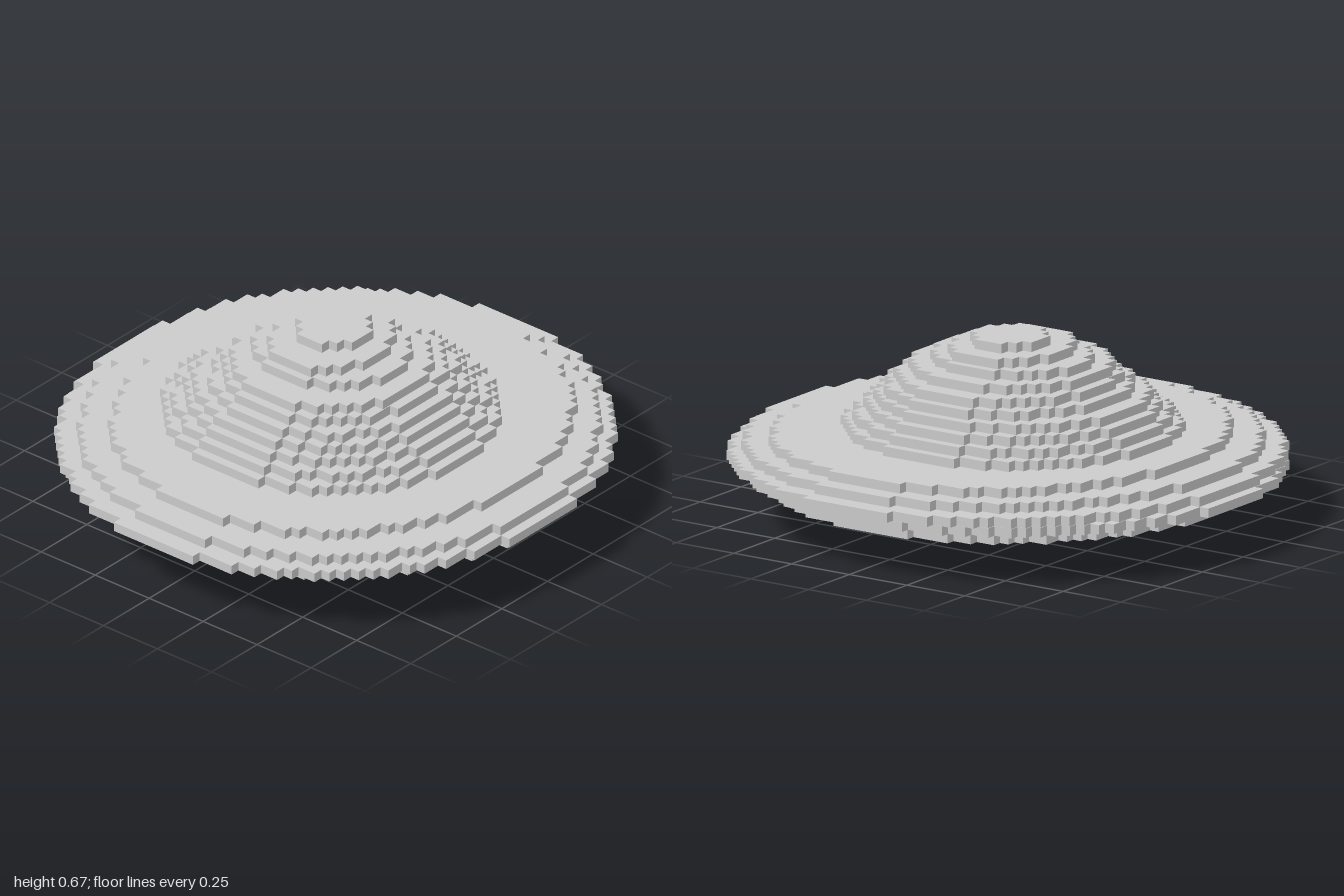
import * as THREE from 'three';

const CELL = 0.037;
const material = new THREE.MeshStandardMaterial({ color: 0xcccccc, flatShading: true });

// Corner points of an ellipse stepped into cells, filling the bounds [x0, x1, z0, z1]
function steppedOutline([x0, x1, z0, z1]) {
  const cx = (x0 + x1) / 2, rx = (x1 - x0) / 2;
  const rows = Math.round((z1 - z0) / CELL), dz = (z1 - z0) / rows;
  const right = [], left = [];
  let last = null;
  for (let i = 0; i < rows; i++) {
    const t = ((i + 0.5) / rows) * 2 - 1;
    const w = rx - Math.round((rx * (1 - Math.sqrt(1 - t * t))) / CELL) * CELL;
    const z = z0 + i * dz;
    if (w !== last) {
      if (last !== null) {
        right.push(new THREE.Vector2(cx + last, z));
        left.push(new THREE.Vector2(cx - last, z));
      }
      right.push(new THREE.Vector2(cx + w, z));
      left.push(new THREE.Vector2(cx - w, z));
    }
    last = w;
  }
  right.push(new THREE.Vector2(cx + last, z1));
  left.push(new THREE.Vector2(cx - last, z1));
  return [...right, ...left.reverse()];
}

// One flat slab of cells, with an optional stepped hole
function slab(name, bounds, y0, y1, hole) {
  const shape = new THREE.Shape(steppedOutline(bounds));
  if (hole) shape.holes.push(new THREE.Path(steppedOutline(hole)));
  const geometry = new THREE.ExtrudeGeometry(shape, { depth: y1 - y0, bevelEnabled: false });
  geometry.rotateX(Math.PI / 2).translate(0, y1, 0);
  const mesh = new THREE.Mesh(geometry, material);
  mesh.name = name;
  return mesh;
}

// A pile of slabs of equal height
function stack(name, layers, y0, y1) {
  const group = new THREE.Group();
  group.name = name;
  const h = (y1 - y0) / layers.length;
  layers.forEach((b, i) => group.add(slab(name + 'Layer', b, y0 + i * h, y0 + (i + 1) * h)));
  return group;
}

export function createModel() {
  const model = new THREE.Group();
  model.name = 'saucer';

  // Foot with a shallow recess underneath
  const foot = [-0.4, 0.4, -0.37, 0.37];
  model.add(slab('footRing', foot, 0, 0.0375, [-0.3, 0.3, -0.28, 0.28]));
  model.add(slab('footPlate', foot, 0.0375, 0.075));

  // Wide disc, tapered below and above its rim
  model.add(stack('disc', [
    [-0.635, 0.595, -0.58, 0.58],
    [-0.79, 0.67, -0.785, 0.82],
    [-0.905, 0.82, -0.93, 0.895],
    [-0.98, 0.94, -0.965, 0.93],
    [-0.94, 0.98, -1, 1],
    [-0.865, 0.94, -0.93, 0.93],
    [-0.75, 0.82, -0.86, 0.82],
  ], 0.075, 0.319));

  // Stepped dome
  model.add(stack('dome', [
    [-0.6, 0.595, -0.58, 0.58],
    [-0.56, 0.555, -0.545, 0.545],
    [-0.52, 0.515, -0.51, 0.51],
    [-0.48, 0.475, -0.47, 0.475],
    [-0.41, 0.44, -0.435, 0.44],
    [-0.37, 0.4, -0.4, 0.4],
    [-0.33, 0.36, -0.33, 0.365],
    [-0.29, 0.29, -0.26, 0.26],
    [-0.21, 0.21, -0.23, 0.23],
    [-0.135, 0.13, -0.155, 0.12],
  ], 0.319, 0.667));

  return model;
}
